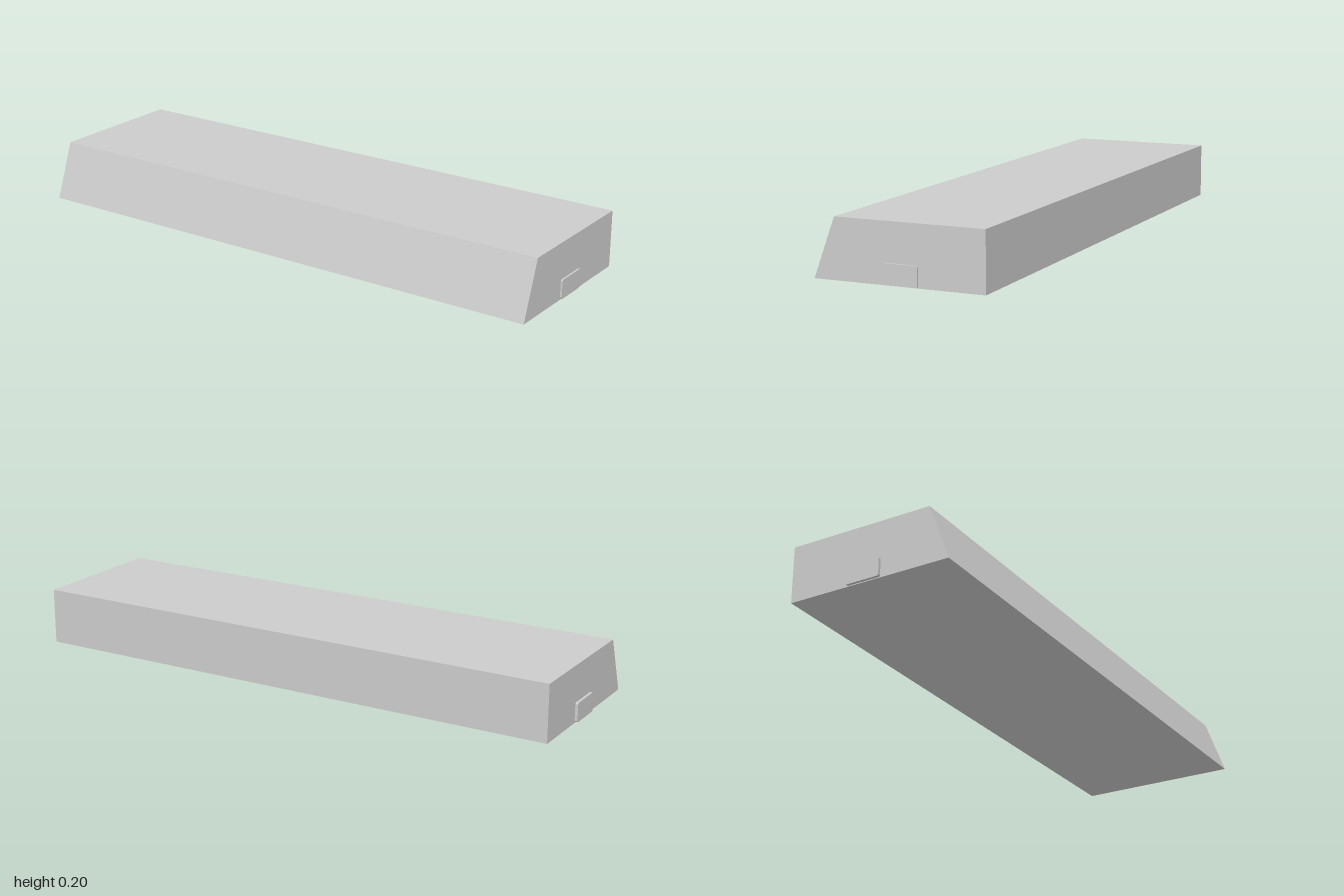
import * as THREE from 'three';

const material = new THREE.MeshStandardMaterial({ color: 0xcccccc });

// Extrude a shape from z0 to z1
function slab(name, shape, z0, z1) {
  const geometry = new THREE.ExtrudeGeometry(shape, { depth: z1 - z0, bevelEnabled: false, curveSegments: 6 });
  geometry.translate(0, 0, z0);
  const mesh = new THREE.Mesh(geometry, material);
  mesh.name = name;
  return mesh;
}

function roundedRect(x0, y0, x1, y1, r) {
  const s = new THREE.Shape();
  s.absarc(x1 - r, y0 + r, r, -Math.PI / 2, 0);
  s.absarc(x1 - r, y1 - r, r, 0, Math.PI / 2);
  s.absarc(x0 + r, y1 - r, r, Math.PI / 2, Math.PI);
  s.absarc(x0 + r, y0 + r, r, Math.PI, Math.PI * 1.5);
  s.closePath();
  return s;
}

export function createModel() {
  const group = new THREE.Group();
  group.name = 'slantedBlock';
  const front = 0.993, back = -0.99;

  // Long block with one slanted side
  const profile = new THREE.Shape([
    new THREE.Vector2(-0.295, 0),
    new THREE.Vector2(0.295, 0),
    new THREE.Vector2(0.295, 0.2),
    new THREE.Vector2(-0.221, 0.2),
  ]);
  group.add(slab('body', profile, back, front));

  // Small rounded plates low on both ends
  group.add(slab('frontPlate', roundedRect(-0.057, 0.003, 0.068, 0.07, 0.006), front - 0.002, 0.9995));
  group.add(slab('backPlate', roundedRect(-0.045, 0.003, 0.08, 0.07, 0.006), -1, back + 0.002));

  // Tiny pin in the middle of the front plate
  const pin = new THREE.Mesh(new THREE.CylinderGeometry(0.004, 0.004, 0.002, 12), material);
  pin.rotation.x = Math.PI / 2;
  pin.position.set(0.005, 0.037, 0.999);
  pin.name = 'frontPin';
  group.add(pin);

  return group;
}
